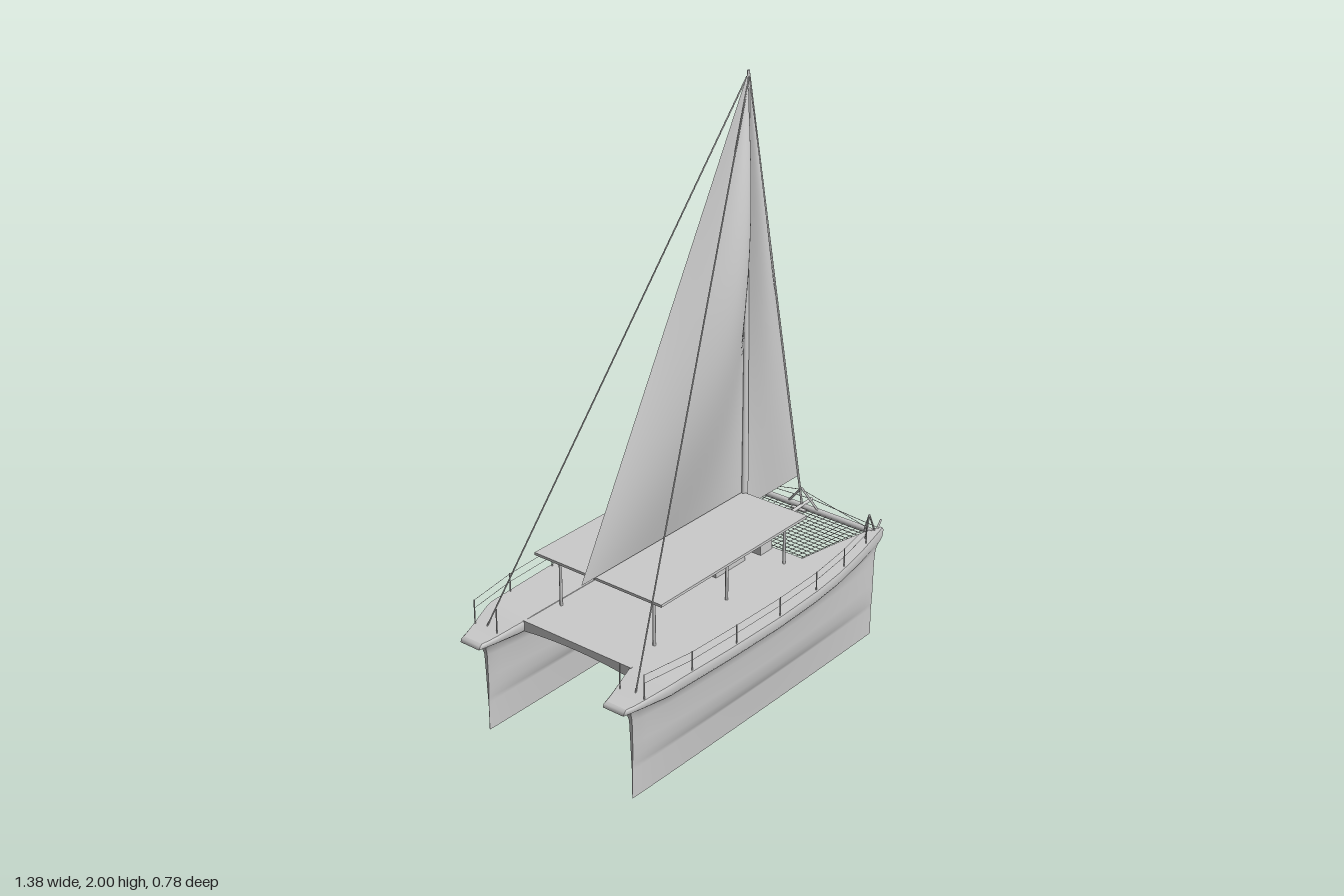
import * as THREE from 'three';
import { mergeGeometries } from 'three/addons/utils/BufferGeometryUtils.js';

const grey = new THREE.MeshStandardMaterial({ color: 0xcccccc });
const greyThin = new THREE.MeshStandardMaterial({ color: 0xcccccc, side: THREE.DoubleSide });
const V = (x, y, z) => new THREE.Vector3(x, y, z);

function add(parent, name, geometry, material = grey) {
  const mesh = new THREE.Mesh(geometry, material);
  mesh.name = name;
  parent.add(mesh);
  return mesh;
}

// Round bar between two points
function bar(a, b, r, sides = 6, rEnd = r) {
  const d = b.clone().sub(a);
  const g = new THREE.CylinderGeometry(rEnd, r, d.length(), sides);
  g.applyQuaternion(new THREE.Quaternion().setFromUnitVectors(V(0, 1, 0), d.normalize()));
  const m = a.clone().add(b).multiplyScalar(0.5);
  return g.translate(m.x, m.y, m.z);
}
const box = (x0, x1, y0, y1, z0, z1) =>
  new THREE.BoxGeometry(x1 - x0, y1 - y0, z1 - z0).translate((x0 + x1) / 2, (y0 + y1) / 2, (z0 + z1) / 2);

// Smooth surface through a grid of points f(i, j)
function loft(nu, nv, f) {
  const pos = [], index = [];
  for (let i = 0; i <= nu; i++) for (let j = 0; j <= nv; j++) pos.push(...f(i, j).toArray());
  for (let i = 0; i < nu; i++) for (let j = 0; j < nv; j++) {
    const a = i * (nv + 1) + j, b = a + nv + 1;
    index.push(a, b, a + 1, b, b + 1, a + 1);
  }
  const g = new THREE.BufferGeometry();
  g.setAttribute('position', new THREE.Float32BufferAttribute(pos, 3));
  g.setIndex(index);
  g.computeVertexNormals();
  return g;
}

// Deck plan: x, half width outboard, half width inboard
const PLAN = [
  [-0.69, 0.035, 0.045], [-0.53, 0.08, 0.085], [-0.25, 0.092, 0.085], [0, 0.096, 0.085], [0.2, 0.089, 0.085],
  [0.34, 0.075, 0.08], [0.5, 0.047, 0.052], [0.64, 0.014, 0.02], [0.68, 0.004, 0.005]];
function deckHalf(x, column) {
  let i = 0;
  while (i < PLAN.length - 2 && x > PLAN[i + 1][0]) i++;
  const [p, q] = [PLAN[i], PLAN[i + 1]];
  return THREE.MathUtils.lerp(p[column], q[column], THREE.MathUtils.clamp((x - p[0]) / (q[0] - p[0]), 0, 1));
}

// Hull levels: height, share of deck width, share of body width, stern x, bow x
const LEVELS = [
  [0.39, 0.95, 1, -0.675, 0.675], [0.38, 1, 1, -0.685, 0.682], [0.357, 0.98, 1, -0.69, 0.678],
  [0.347, 0.86, 1, -0.682, 0.668], [0.337, 0.52, 1, -0.655, 0.65], [0.32, 0.2, 1, -0.63, 0.638],
  [0.28, 0.03, 1, -0.617, 0.632], [0.2, 0, 0.93, -0.614, 0.63], [0.155, 0, 0.78, -0.613, 0.63],
  [0.12, 0, 0.42, -0.613, 0.63], [0.1, 0, 0.14, -0.613, 0.63], [0, 0, 0.1, -0.613, 0.63]];
const CENTRE = 0.296, STATIONS = 48;

function hullPoint(i, level, side) {
  const [y, k, body, x0, x1] = LEVELS[level];
  const t = i / STATIONS;
  const x = THREE.MathUtils.lerp(x0, x1, t);
  const low = body * (0.005 + 0.036 * Math.pow(Math.max(0, Math.sin(Math.PI * t)), 0.6));
  const w = THREE.MathUtils.lerp(low, deckHalf(-0.69 + 1.37 * t, side > 0 ? 1 : 2), k);
  const drop = 0.03 * THREE.MathUtils.smoothstep(-x, 0.48, 0.69) * Math.max(0, (y - 0.335) / 0.055);
  return V(x, y - drop, CENTRE + side * w);
}

function makeHull(name) {
  const hull = new THREE.Group(), n = LEVELS.length;
  hull.name = name;
  // Skin runs from the inboard edge down to the keel and up outboard
  add(hull, 'hullSkin', loft(STATIONS, 2 * n - 1, (i, j) =>
    j < n ? hullPoint(i, j, -1) : hullPoint(i, 2 * n - 1 - j, 1)));
  add(hull, 'hullDeck', loft(STATIONS, 1, (i, j) => hullPoint(i, 0, j ? -1 : 1)));
  add(hull, 'transom', loft(n - 1, 1, (i, j) => hullPoint(0, n - 1 - i, j ? -1 : 1)));
  add(hull, 'stem', loft(n - 1, 1, (i, j) => hullPoint(STATIONS, n - 1 - i, j ? 1 : -1)));

  // Guard rail along the outboard edge
  const xs = [-0.61, -0.42, -0.215, 0, 0.2, 0.38, 0.55];
  const rail = (x, y) => V(x, y, CENTRE + deckHalf(x, 1) - 0.01);
  const parts = xs.map(x => bar(rail(x, x < -0.55 ? 0.37 : 0.385), rail(x, 0.455), 0.0022));
  for (let i = 1; i < xs.length; i++)
    for (const y of [0.425, 0.453]) parts.push(bar(rail(xs[i - 1], y), rail(xs[i], y), 0.0009, 4));
  parts.push(bar(V(-0.61, 0.37, 0.25), V(-0.61, 0.455, 0.25), 0.0022));
  add(hull, 'guardRail', mergeGeometries(parts));

  // Bow pulpit
  const top = V(0.62, 0.455, 0.283);
  add(hull, 'pulpit', mergeGeometries([
    bar(V(0.575, 0.385, 0.3), top, 0.003), bar(V(0.645, 0.385, 0.29), top, 0.003),
    bar(V(0.61, 0.385, 0.268), top, 0.003), bar(V(0.66, 0.39, 0.29), V(0.68, 0.415, 0.29), 0.004)]));

  // Stay from stern to masthead
  add(hull, 'backstay', bar(V(-0.6, 0.37, 0.302), V(0.3, 1.98, 0.004), 0.0026));
  return hull;
}

// Three-cornered sail bellied toward +z
function sail(head, tack, clew, belly) {
  const n = 32;
  return loft(n, n, (i, j) => {
    const u = i / n, v = j / n;
    const p = clew.clone().lerp(tack, u).lerp(head, v);
    p.z += belly * Math.sin(Math.PI * u) * Math.sin(Math.PI * v);
    return p;
  });
}

export function createModel() {
  const boat = new THREE.Group();
  boat.name = 'sailingCatamaran';

  // Twin hulls
  boat.add(makeHull('nearHull'));
  const far = makeHull('farHull');
  far.scale.z = -1;
  boat.add(far);

  // Bridge deck with arched underside
  const arch = new THREE.Shape();
  arch.moveTo(-0.22, 0.388);
  arch.lineTo(-0.22, 0.35);
  arch.quadraticCurveTo(0, 0.378, 0.22, 0.35);
  arch.lineTo(0.22, 0.388);
  const bridge = new THREE.ExtrudeGeometry(arch, { depth: 0.865, bevelEnabled: false, curveSegments: 16 });
  add(boat, 'bridgeDeck', bridge.rotateY(Math.PI / 2).translate(-0.525, 0, 0));

  // Roof and posts
  add(boat, 'roof', box(-0.425, 0.305, 0.564, 0.573, -0.256, 0.256));
  const posts = [];
  for (const x of [-0.38, -0.025, 0.275]) for (const z of [-0.19, 0.19])
    posts.push(bar(V(x, 0.385, z), V(x, 0.566, z), 0.005, 10));
  add(boat, 'roofPosts', mergeGeometries(posts));

  // Deck furniture
  add(boat, 'mastLocker', box(0.268, 0.33, 0.385, 0.473, -0.1, 0.1));
  add(boat, 'table', box(0.06, 0.21, 0.385, 0.457, -0.08, 0.08));

  // Mast, deeper fore and aft
  const mast = add(boat, 'mast', new THREE.CylinderGeometry(0.006, 0.016, 1.61, 16));
  mast.scale.z = 0.55;
  mast.rotation.z = 0.006;
  mast.position.set(0.306, 1.195, 0);

  // Sails
  add(boat, 'mainsail', sail(V(0.297, 1.99, 0), V(0.292, 0.577, 0), V(-0.495, 0.577, 0), 0.115), greyThin);
  add(boat, 'jib', sail(V(0.304, 1.985, 0), V(0.6, 0.515, 0), V(0.326, 0.515, 0), 0.032), greyThin);
  add(boat, 'forestay', bar(V(0.304, 1.99, 0), V(0.628, 0.4, 0), 0.004));

  // Bow beam, sprit and walkway
  add(boat, 'bowBeam', bar(V(0.64, 0.383, -0.285), V(0.64, 0.383, 0.285), 0.011, 12));
  add(boat, 'bowSprit', bar(V(0.33, 0.384, 0), V(0.685, 0.395, 0), 0.006, 10));
  const slats = [];
  for (let x = 0.35; x < 0.63; x += 0.028) slats.push(box(x, x + 0.016, 0.384, 0.389, -0.028, 0.028));
  add(boat, 'walkwaySlats', mergeGeometries(slats));

  // Seagull frame and bridle
  const rig = [];
  for (const s of [-1, 1]) {
    rig.push(bar(V(0.638, 0.385, s * 0.065), V(0.625, 0.46, 0), 0.004));
    rig.push(bar(V(0.638, 0.39, s * 0.28), V(0.625, 0.455, 0), 0.0012, 4));
    rig.push(bar(V(0.665, 0.39, s * 0.288), V(0.683, 0.395, 0), 0.0012, 4));
  }
  add(boat, 'bowRigging', mergeGeometries(rig));

  // Trampoline netting
  const net = [], edge = x => 0.222 + (x - 0.34) * 0.18;
  for (let i = -11; i <= 11; i++)
    net.push(bar(V(0.338, 0.38, edge(0.338) * i / 11), V(0.635, 0.38, edge(0.635) * i / 11), 0.0015, 4));
  for (let i = 0; i <= 15; i++) {
    const x = 0.342 + i * 0.0193;
    net.push(bar(V(x, 0.38, -edge(x)), V(x, 0.38, edge(x)), 0.0015, 4));
  }
  for (const s of [-1, 1]) net.push(bar(V(0.338, 0.38, s * edge(0.338)), V(0.635, 0.38, s * edge(0.635)), 0.004));
  add(boat, 'trampolineNet', mergeGeometries(net));

  return boat;
}
